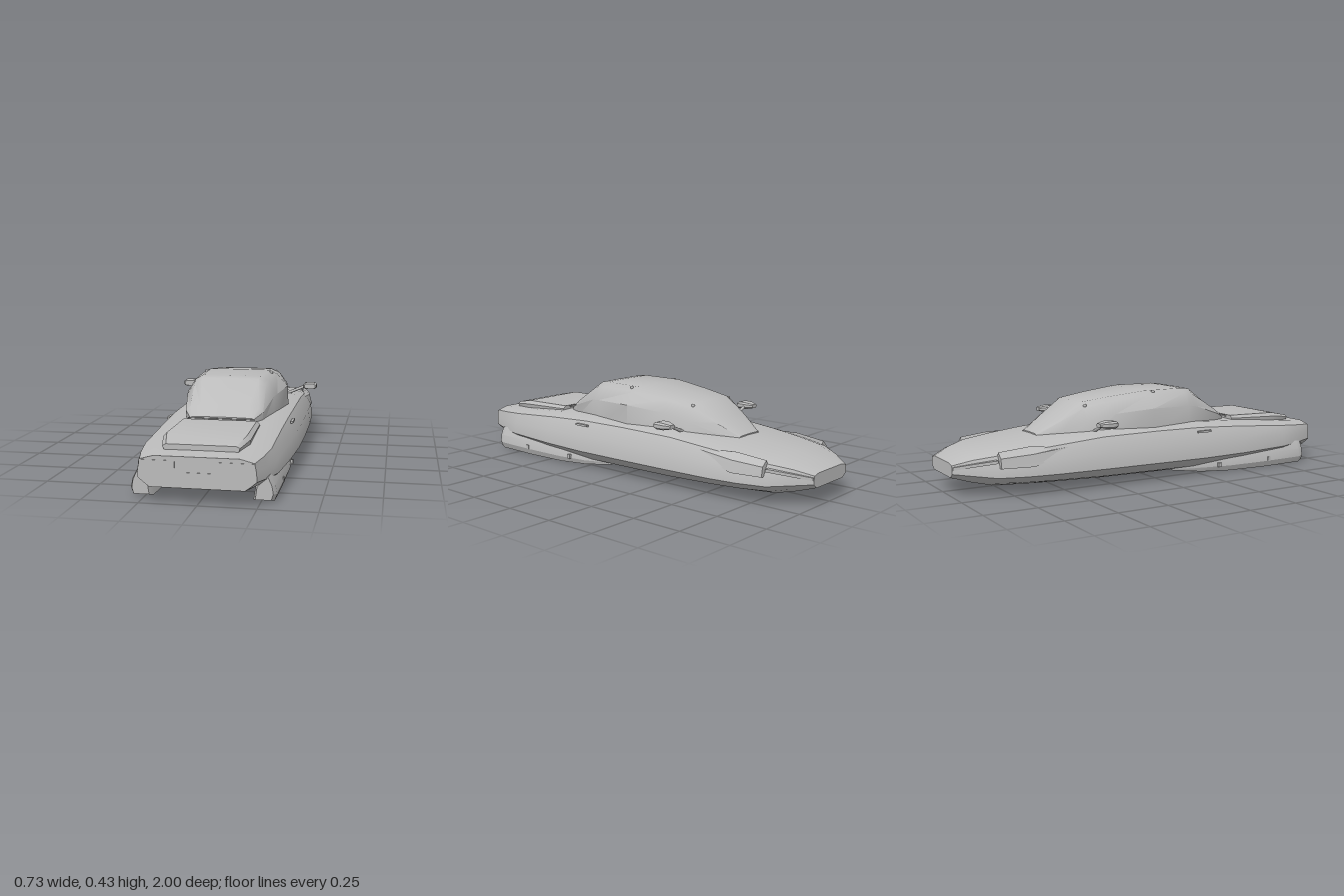
import * as THREE from 'three';
import { toCreasedNormals } from 'three/addons/utils/BufferGeometryUtils.js';

const paint = new THREE.MeshStandardMaterial({ color: 0xbbbbbb });
paint.name = 'grey paint';

// Closed skin through rings of [x, y, z] points, ordered from +z to -z, each counter-clockwise seen from +z
function loft(rings, crease = 0.6) {
  const n = rings[0].length, idx = [];
  for (let i = 0; i < rings.length - 1; i++) {
    for (let j = 0; j < n; j++) {
      const k = (j + 1) % n, a = i * n + j, b = i * n + k;
      idx.push(a, a + n, b + n, a, b + n, b);
    }
  }
  const last = (rings.length - 1) * n;
  for (let j = 1; j < n - 1; j++) idx.push(0, j, j + 1, last, last + j + 1, last + j);
  const g = new THREE.BufferGeometry();
  g.setAttribute('position', new THREE.Float32BufferAttribute(rings.flat(2), 3));
  g.setIndex(idx);
  return toCreasedNormals(g, crease);
}

// Full ring from the points of the +x half, bottom to top
const symmetric = (z, half) => [
  ...half.map(([x, y]) => [x, y, z]),
  ...half.filter(p => p[0] > 0).reverse().map(([x, y]) => [-x, y, z]),
];
const ring = (z, pts) => pts.map(([x, y]) => [x, y, z]);
const flip = rings => rings.map(r => r.map(([x, y, z]) => [-x, y, z]).reverse());

export function createModel() {
  const model = new THREE.Group();
  model.name = 'hoverCar';
  const add = (name, geo) => {
    const m = new THREE.Mesh(geo, paint);
    m.name = name;
    model.add(m);
    return m;
  };
  const box = (name, w, h, d, x, y, z) => {
    const m = add(name, new THREE.BoxGeometry(w, h, d));
    m.position.set(x, y, z);
    return m;
  };
  const pair = (name, rings, crease) => {
    add('left' + name, loft(rings, crease));
    add('right' + name, loft(flip(rings), crease));
  };

  // Hull: profile blends from rounded (0) to boxy ends (1)
  const round = [[0.6, 0], [0.86, 0.1], [1, 0.28], [0.97, 0.6], [0.84, 0.88], [0.66, 0.97], [0, 1]];
  const boxy = [[0.8, 0], [0.9, 0.14], [1, 0.3], [0.99, 0.6], [0.96, 0.88], [0.72, 1], [0, 1]];
  const hull = [ // z, half width, bottom, top, boxiness
    [1, 0.25, 0.072, 0.205, 1], [0.9, 0.28, 0.058, 0.214, 0.8], [0.78, 0.308, 0.045, 0.225, 0.5],
    [0.5, 0.326, 0.028, 0.25, 0.15], [0.25, 0.337, 0.021, 0.266, 0], [0, 0.337, 0.022, 0.269, 0],
    [-0.3, 0.331, 0.025, 0.264, 0], [-0.55, 0.318, 0.033, 0.24, 0.1], [-0.7, 0.296, 0.038, 0.223, 0.2],
    [-0.83, 0.262, 0.045, 0.206, 0.4], [-0.92, 0.2, 0.064, 0.184, 0.7], [-1, 0.14, 0.086, 0.152, 1],
  ];
  add('hull', loft(hull.map(([z, w, b, t, f]) => symmetric(z, round.map(([x, y], i) => [
    w * (x + (boxy[i][0] - x) * f), b + (t - b) * (y + (boxy[i][1] - y) * f)])))));

  // Cabin
  const cabin = [ // z, sill, shoulder, upper corner, roof edge
    [0.48, [0.15, 0.22], [0.15, 0.262], [0.142, 0.266], [0.1, 0.268]],
    [0.42, [0.18, 0.22], [0.184, 0.285], [0.163, 0.305], [0.115, 0.312]],
    [0.27, [0.216, 0.22], [0.212, 0.335], [0.175, 0.395], [0.14, 0.418]],
    [0.22, [0.226, 0.22], [0.222, 0.34], [0.182, 0.402], [0.145, 0.424]],
    [0, [0.25, 0.22], [0.245, 0.345], [0.19, 0.405], [0.152, 0.424]],
    [-0.2, [0.226, 0.22], [0.216, 0.33], [0.175, 0.385], [0.128, 0.403]],
    [-0.34, [0.206, 0.22], [0.19, 0.3], [0.15, 0.36], [0.11, 0.384]],
    [-0.45, [0.15, 0.2], [0.14, 0.258], [0.12, 0.3], [0.09, 0.313]],
    [-0.56, [0.08, 0.2], [0.08, 0.236], [0.075, 0.24], [0.06, 0.243]],
  ];
  add('cabin', loft(cabin.map(([z, ...p]) => symmetric(z, [...p, [0, p[3][1] + 0.001]]))));

  // Raised rear deck with sloping end
  add('rearDeck', loft([
    symmetric(0.915, [[0.155, 0.2], [0.165, 0.228], [0.15, 0.236]]),
    symmetric(0.8, [[0.185, 0.2], [0.192, 0.242], [0.175, 0.26]]),
    symmetric(0.52, [[0.185, 0.2], [0.185, 0.25], [0.17, 0.264]]),
  ], 0.4));
  box('deckSeam', 0.31, 0.008, 0.008, 0, 0.262, 0.5);

  // Float runners under the tail
  const runner = [[0.215, 0], [0.305, 0], [0.316, 0.03], [0.308, 0.07], [0.286, 0.112], [0.272, 0.112], [0.225, 0.06]];
  const runnerRing = (z, sx, base, sy) => ring(z, runner.map(([x, y]) => [0.265 + (x - 0.265) * sx, base + y * sy]));
  pair('Runner', [
    runnerRing(0.91, 0.75, 0.012, 0.88), runnerRing(0.88, 1, 0.003, 1), runnerRing(0.65, 1, 0, 1),
    runnerRing(0.42, 0.95, 0.003, 0.9), runnerRing(0.25, 0.7, 0.013, 0.7), runnerRing(0.09, 0.1, 0.032, 0.3),
  ], 0.4);

  // Swept headlight cowls
  pair('HeadlightCowl', [
    ring(-0.45, [[0.27, 0.19], [0.285, 0.195], [0.28, 0.21], [0.265, 0.21]]),
    ring(-0.67, [[0.24, 0.12], [0.304, 0.135], [0.29, 0.19], [0.25, 0.22]]),
    ring(-0.82, [[0.2, 0.13], [0.278, 0.135], [0.27, 0.18], [0.24, 0.205]]),
  ], 0.3);

  // Mirror housings
  const mirrorRing = (z, w, h) => ring(z, [[-0.7, -1], [0.7, -1], [1, -0.5], [1, 0.5], [0.7, 1], [-0.7, 1], [-1, 0.5], [-1, -0.5]]
    .map(([x, y]) => [0.329 + x * w, 0.301 + y * h]));
  pair('Mirror', [mirrorRing(-0.27, 0.029, 0.013), mirrorRing(-0.285, 0.035, 0.017),
    mirrorRing(-0.325, 0.034, 0.016), mirrorRing(-0.36, 0.018, 0.009)], 0.2);

  for (const s of [1, -1]) {
    const side = s > 0 ? 'left' : 'right';
    // Mirror arm
    add(side + 'MirrorArm', new THREE.TubeGeometry(new THREE.LineCurve3(
      new THREE.Vector3(s * 0.19, 0.248, -0.315), new THREE.Vector3(s * 0.31, 0.3, -0.315)), 1, 0.008, 8));
    // Tail light, side vent and nose light strip
    box(side + 'TailLight', 0.15, 0.03, 0.006, s * 0.167, 0.172, 0.999);
    box(side + 'SideVent', 0.012, 0.01, 0.08, s * 0.303, 0.218, 0.26);
    const strip = [[-0.83, 0.264, 0.165], [-0.92, 0.205, 0.148], [-0.998, 0.145, 0.13]]
      .map(([z, x, y]) => ring(z, [[x - 0.03, y - 0.007], [x, y - 0.007], [x, y + 0.007], [x - 0.03, y + 0.007]]));
    add(side + 'NoseLight', loft(s > 0 ? strip : flip(strip), 0.3));
    // Runner studs
    for (const z of [0.67, 0.35]) box(side + 'RunnerStud', 0.014, 0.022, 0.016, s * 0.311, 0.04, z);
    // Roof studs
    for (const [x, y, z] of [[0.165, 0.417, 0.04], [0.14, 0.369, -0.33]]) {
      const stud = add(side + 'RoofStud', new THREE.SphereGeometry(0.009, 10, 6));
      stud.position.set(s * x, y, z);
    }
  }
  // Number plate and nose lip
  box('numberPlate', 0.13, 0.052, 0.006, 0, 0.113, 0.999);
  box('noseLip', 0.27, 0.012, 0.012, 0, 0.13, -0.994);
  return model;
}
